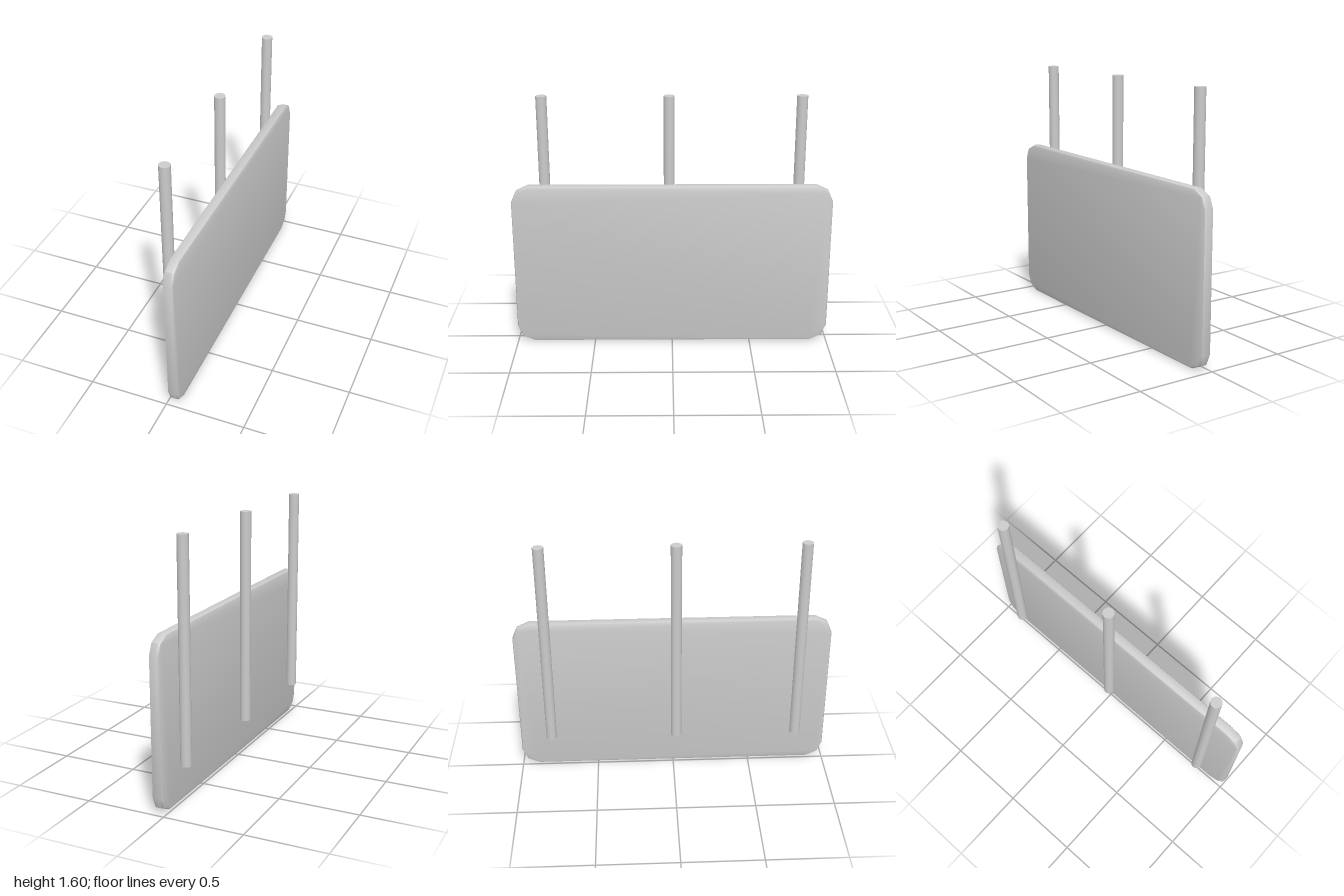
import * as THREE from 'three';
import { toCreasedNormals } from 'three/addons/utils/BufferGeometryUtils.js';

const material = new THREE.MeshStandardMaterial({ color: 0xcccccc });

// Rectangle with each corner cut into three points
function panelOutline(halfWidth, height) {
  const corner = [[0, 0.105], [0.03, 0.035], [0.105, 0]];
  const bottomLeft = corner.map(([x, y]) => [x - halfWidth, y]);
  const bottomRight = bottomLeft.map(([x, y]) => [-x, y]).reverse();
  const bottom = [...bottomLeft, ...bottomRight];
  const top = bottom.map(([x, y]) => [x, height - y]).reverse();
  return new THREE.Shape([...bottom, ...top].map(([x, y]) => new THREE.Vector2(x, y)));
}

// Thin upright board with softened rims
function createPanel() {
  const thickness = 0.065, bevel = 0.015;
  const geometry = new THREE.ExtrudeGeometry(panelOutline(1, 1.055), {
    depth: thickness - 2 * bevel,
    bevelThickness: bevel,
    bevelSize: bevel,
    bevelOffset: -bevel,
    bevelSegments: 2,
  });
  geometry.translate(0, 0, bevel - thickness / 2);
  geometry.rotateY(-Math.PI / 2);
  const panel = new THREE.Mesh(toCreasedNormals(geometry, 0.7), material);
  panel.name = 'panel';
  panel.position.x = 0.0425;
  return panel;
}

export function createModel() {
  const model = new THREE.Group();
  model.name = 'panelWithPosts';
  model.add(createPanel());

  // Three round posts standing behind the board
  const bottom = 0.245, top = 1.6, radius = 0.034;
  const postGeometry = new THREE.CylinderGeometry(radius, radius, top - bottom, 12);
  [['frontPost', 0.797], ['middlePost', 0.018], ['backPost', -0.795]].forEach(([name, z]) => {
    const post = new THREE.Mesh(postGeometry, material);
    post.name = name;
    post.position.set(-0.041, (top + bottom) / 2, z);
    model.add(post);
  });
  return model;
}
